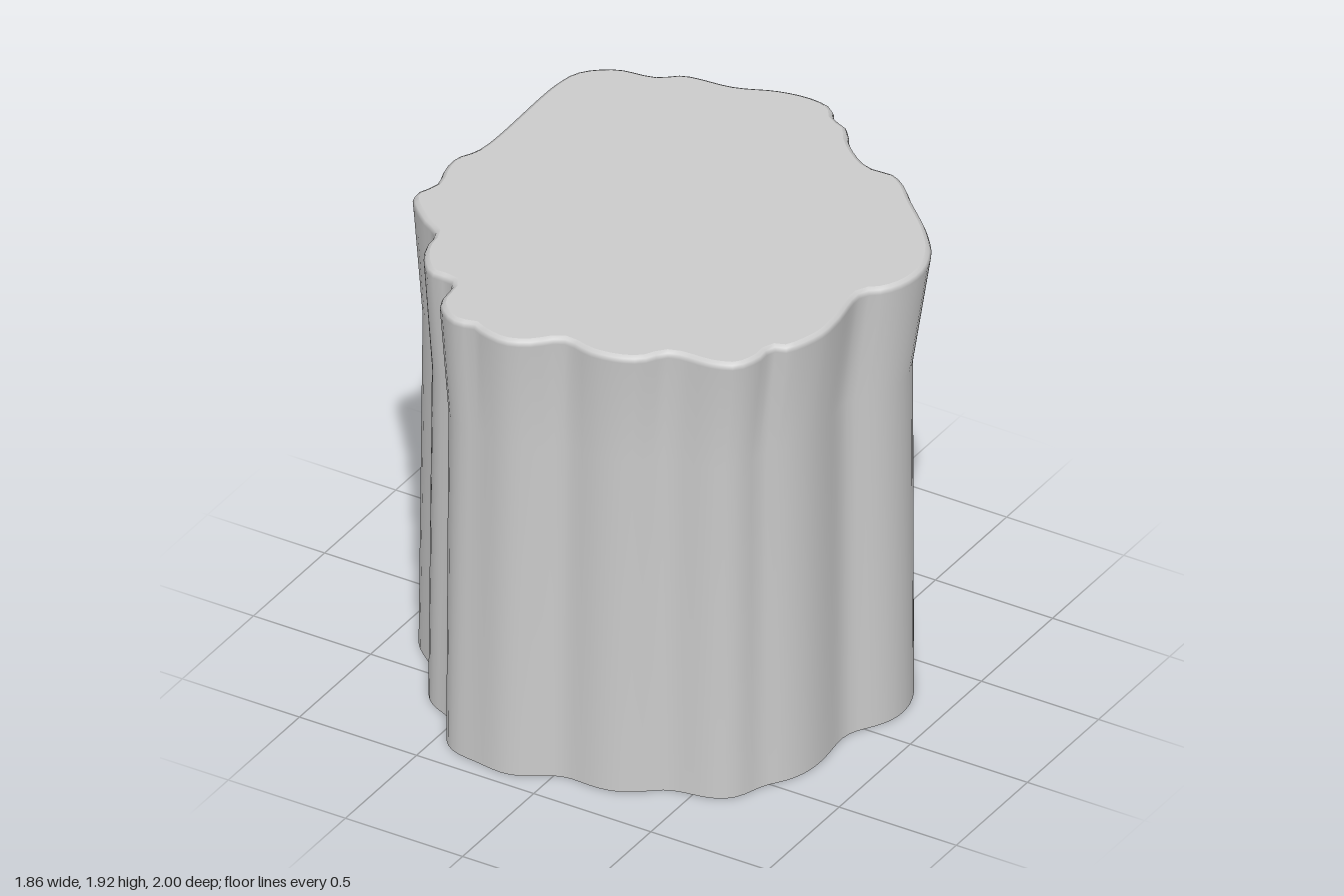
import * as THREE from 'three';

const HEIGHT = 1.92;
const COUNT = 150;

// Irregular trunk outline at the rim, as x, z pairs
const OUTLINE = [
  [-0.03, -1.0], [0.07, -0.98], [0.12, -0.92], [0.19, -0.89], [0.25, -0.81], [0.39, -0.71],
  [0.5, -0.71], [0.57, -0.67], [0.64, -0.6], [0.8, -0.45], [0.89, -0.33], [0.93, -0.21],
  [0.92, -0.1], [0.88, -0.02], [0.82, 0.04], [0.84, 0.24], [0.84, 0.36], [0.78, 0.51],
  [0.73, 0.53], [0.73, 0.6], [0.69, 0.7], [0.6, 0.74], [0.43, 0.76], [0.37, 0.84],
  [0.3, 0.88], [0.18, 0.9], [0.05, 0.88], [-0.04, 0.96], [-0.13, 1.0], [-0.25, 0.98],
  [-0.29, 0.96], [-0.33, 0.98], [-0.4, 0.96], [-0.47, 0.89], [-0.5, 0.75], [-0.6, 0.74],
  [-0.65, 0.7], [-0.71, 0.6], [-0.73, 0.5], [-0.82, 0.44], [-0.93, 0.32], [-0.9, 0.21],
  [-0.93, 0.1], [-0.93, 0.02], [-0.89, -0.07], [-0.88, -0.6], [-0.85, -0.71], [-0.74, -0.8],
  [-0.59, -0.83], [-0.51, -0.89], [-0.31, -0.92], [-0.16, -0.98],
];

const neighbours = (pts, i) => [pts[(i + COUNT - 1) % COUNT], pts[(i + 1) % COUNT]];

// Softens the bark ridges
function soften(pts, passes) {
  for (let k = 0; k < passes; k++) {
    pts = pts.map((p, i) => {
      const [a, b] = neighbours(pts, i);
      return a.clone().add(b).multiplyScalar(0.25).addScaledVector(p, 0.5);
    });
  }
  return pts;
}

// Stretches an outline to exact extents
function fit(pts, x0, x1, z0, z1) {
  const box = new THREE.Box2().setFromPoints(pts);
  const { mapLinear } = THREE.MathUtils;
  return pts.map((p) => new THREE.Vector2(
    mapLinear(p.x, box.min.x, box.max.x, x0, x1),
    mapLinear(p.y, box.min.y, box.max.y, z0, z1)));
}

// Moves an outline inward along its normals
function inset(pts, d) {
  return pts.map((p, i) => {
    const [a, b] = neighbours(pts, i);
    const t = b.clone().sub(a).normalize();
    return new THREE.Vector2(p.x - t.y * d, p.y + t.x * d);
  });
}

// Joins stacked rings into an open, smooth wall
function loft(rings) {
  const pos = [], index = [];
  rings.forEach(({ pts, y }) => pts.forEach((p) => pos.push(p.x, y, p.y)));
  for (let r = 0; r < rings.length - 1; r++) {
    for (let i = 0; i < COUNT; i++) {
      const j = (i + 1) % COUNT;
      const a = r * COUNT + i, b = a + COUNT, c = r * COUNT + j, d = c + COUNT;
      index.push(a, b, c, c, b, d);
    }
  }
  const geo = new THREE.BufferGeometry();
  geo.setAttribute('position', new THREE.Float32BufferAttribute(pos, 3));
  geo.setIndex(index);
  geo.computeVertexNormals();
  return geo;
}

export function createModel() {
  const group = new THREE.Group();
  group.name = 'treeStump';
  const material = new THREE.MeshStandardMaterial({ color: 0xcccccc, side: THREE.DoubleSide });

  const curve = new THREE.CatmullRomCurve3(
    OUTLINE.map(([x, z]) => new THREE.Vector3(x, 0, z)), true, 'centripetal');
  curve.arcLengthDivisions = 1000;
  const raw = curve.getSpacedPoints(COUNT).slice(0, COUNT).map((p) => new THREE.Vector2(p.x, p.z));

  const rim = fit(raw, -0.93, 0.93, -1, 1);
  const waist = fit(soften(raw, 2), -0.9, 0.86, -0.945, 0.945);
  const foot = fit(soften(raw, 4), -0.92, 0.865, -0.94, 0.94);
  const cut = inset(rim, 0.022);

  // Bark wall: straight trunk, flared top and small bevel
  const bark = new THREE.Mesh(loft([
    { pts: foot, y: 0 },
    { pts: waist, y: 1.43 },
    { pts: rim, y: 1.895 },
    { pts: inset(rim, 0.007), y: 1.912 },
    { pts: cut, y: HEIGHT },
  ]), material);
  bark.name = 'bark';

  // Flat sawn top
  const topShape = new THREE.Shape(cut.map((p) => new THREE.Vector2(p.x, -p.y)));
  const top = new THREE.Mesh(new THREE.ShapeGeometry(topShape).rotateX(-Math.PI / 2), material);
  top.position.y = HEIGHT;
  top.name = 'cutTop';

  group.add(bark, top);
  return group;
}
